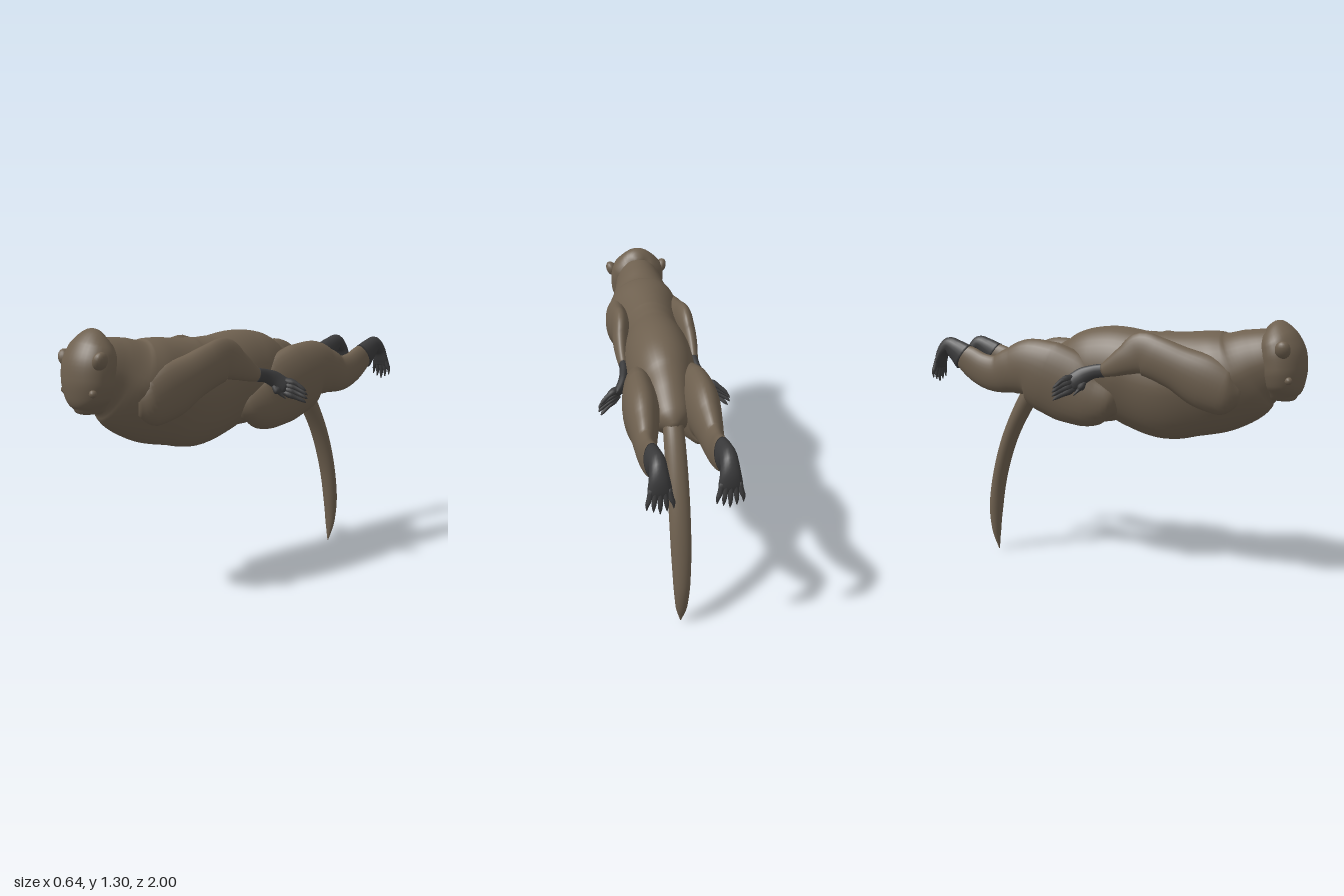
import * as THREE from 'three';

const fur = new THREE.MeshStandardMaterial({ color: 0x6e604f });
fur.name = 'brownFur';
const skin = new THREE.MeshStandardMaterial({ color: 0x3b3b3c });
skin.name = 'darkPaw';

// Smooth closed skin through oval sections [x, y, z, half width, half depth, taper of lower half]
function loft(sections, steps = 40, sides = 28) {
  const path = new THREE.CatmullRomCurve3(sections.map(s => new THREE.Vector3(s[0], s[1], s[2])));
  const sizes = new THREE.CatmullRomCurve3(sections.map(s => new THREE.Vector3(s[3], s[4], s[5] || 0)));
  const pos = [], idx = [];
  for (let i = 0; i <= steps; i++) {
    const k = i / steps;
    const c = path.getPoint(k), t = path.getTangent(k), r = sizes.getPoint(k);
    const u = new THREE.Vector3(1, 0, 0).addScaledVector(t, -t.x).normalize();
    const v = new THREE.Vector3().crossVectors(u, t);
    for (let j = 0; j < sides; j++) {
      const a = j / sides * Math.PI * 2;
      const low = Math.max(0, -Math.sin(a));
      const w = Math.cos(a) * Math.max(r.x, 0.001) * (1 - r.z * low);
      const p = c.clone().addScaledVector(u, w).addScaledVector(v, Math.sin(a) * Math.max(r.y, 0.001));
      pos.push(p.x, p.y, p.z);
      if (i < steps) {
        const n = (j + 1) % sides, A = i * sides + j, B = i * sides + n;
        idx.push(A, A + sides, B, B, A + sides, B + sides);
      }
    }
  }
  // End caps
  [0, steps].forEach(i => {
    const c = path.getPoint(i / steps), m = pos.length / 3;
    pos.push(c.x, c.y, c.z);
    for (let j = 0; j < sides; j++) {
      const A = i * sides + j, B = i * sides + (j + 1) % sides;
      if (i === 0) idx.push(m, A, B); else idx.push(m, B, A);
    }
  });
  const g = new THREE.BufferGeometry();
  g.setAttribute('position', new THREE.Float32BufferAttribute(pos, 3));
  g.setIndex(idx);
  g.computeVertexNormals();
  return g;
}

// Section across z given its top and bottom heights
const slice = (x, z, top, bottom, w, taper) => [x, (top + bottom) / 2, z, w, (top - bottom) / 2, taper];
// Section across y given its front and back depths
const level = (y, front, back, w) => [0, y, (front + back) / 2, w, (front - back) / 2];

export function createModel() {
  const model = new THREE.Group();
  model.name = 'animal';
  const add = (name, geometry, material, parent = model) => {
    const mesh = new THREE.Mesh(geometry, material);
    mesh.name = name;
    parent.add(mesh);
    return mesh;
  };

  // Long torso with a keeled chest and belly
  add('body', loft([
    slice(0, 0.9, 1.2, 1.02, 0.06, 0),
    slice(0, 0.86, 1.265, 0.97, 0.115, 0.1),
    slice(0, 0.77, 1.277, 0.9, 0.14, 0.2),
    slice(0, 0.68, 1.27, 0.815, 0.18, 0.3),
    slice(0, 0.58, 1.262, 0.765, 0.195, 0.35),
    slice(0, 0.44, 1.252, 0.735, 0.18, 0.3),
    slice(0, 0.3, 1.25, 0.713, 0.172, 0.2),
    slice(0, 0.16, 1.26, 0.755, 0.165, 0.15),
    slice(0, 0.04, 1.275, 0.81, 0.17, 0.1),
    slice(0, -0.08, 1.267, 0.81, 0.165, 0.1),
    slice(0, -0.2, 1.225, 0.82, 0.14, 0.1),
    slice(0, -0.31, 1.17, 0.87, 0.11, 0),
    slice(0, -0.41, 1.1, 0.93, 0.08, 0),
    slice(0, -0.46, 1.03, 0.97, 0.02, 0),
  ], 70, 40), fur);

  // Head bent so the crown leads and the snout points down
  add('head', loft([
    level(1.276, 0.83, 0.79, 0.02),
    level(1.26, 0.9, 0.76, 0.08),
    level(1.21, 0.957, 0.76, 0.133),
    level(1.14, 0.993, 0.77, 0.148),
    level(1.07, 0.998, 0.78, 0.145),
    level(1.0, 0.985, 0.8, 0.122),
    level(0.96, 0.965, 0.82, 0.085),
    level(0.938, 0.95, 0.84, 0.06),
    level(0.93, 0.91, 0.88, 0.015),
  ], 36, 36), fur);

  // Hanging tail
  add('tail', loft([
    [0, 1.04, -0.38, 0.045, 0.05], [0, 0.93, -0.475, 0.05, 0.05],
    [0, 0.7, -0.61, 0.051, 0.042], [0, 0.48, -0.688, 0.049, 0.038],
    [0, 0.27, -0.727, 0.041, 0.038], [0, 0.12, -0.73, 0.028, 0.024],
    [0, 0.01, -0.715, 0.002, 0.002],
  ]), fur);

  for (const s of [1, -1]) {
    const side = s > 0 ? 'left' : 'right';
    const flip = list => list.map(([x, ...rest]) => [x * s, ...rest]);
    const part = (name, list, material, steps, sides) =>
      add(side + name, loft(flip(list), steps, sides), material);

    // Ear and closed eye
    const ear = add(side + 'Ear', new THREE.SphereGeometry(1, 16, 12), fur);
    ear.scale.set(0.028, 0.042, 0.036);
    ear.position.set(s * 0.142, 1.175, 0.915);
    ear.rotation.z = s * -0.4;
    const eye = add(side + 'Eye', new THREE.SphereGeometry(0.018, 12, 8), fur);
    eye.position.set(s * 0.117, 1.035, 0.94);

    // Arm folded back, elbow raised
    part('Arm', [
      slice(0.12, 0.72, 1.02, 0.92, 0.03),
      slice(0.135, 0.65, 1.1, 0.86, 0.065),
      slice(0.15, 0.55, 1.15, 0.89, 0.065),
      slice(0.158, 0.42, 1.19, 0.97, 0.061),
      slice(0.163, 0.31, 1.23, 1.02, 0.053),
      slice(0.165, 0.235, 1.25, 1.04, 0.045),
      slice(0.175, 0.16, 1.19, 1.04, 0.037),
      slice(0.178, 0.09, 1.135, 1.03, 0.029),
      slice(0.176, 0.03, 1.09, 1.025, 0.022),
    ], fur);

    // Hand turned outward, with four fingers and a thumb
    part('Hand', [
      [0.176, 1.06, 0.035, 0.022, 0.034], [0.18, 1.052, -0.02, 0.02, 0.034],
      [0.193, 1.03, -0.075, 0.022, 0.042], [0.222, 1.0, -0.115, 0.02, 0.042],
      [0.238, 0.988, -0.13, 0.006, 0.03],
    ], skin, 20, 16);
    for (let i = 0; i < 4; i++) {
      const f = i / 3;
      part('Finger' + (i + 1), [
        [0.215, 1.025 - f * 0.055, -0.115 + f * 0.012, 0.012, 0.012],
        [0.262, 1.012 - f * 0.066, -0.148 + f * 0.012, 0.012, 0.012],
        [0.3 + Math.sin(f * 3.14) * 0.012, 0.985 - f * 0.06, -0.168, 0.009, 0.009],
        [0.312 + Math.sin(f * 3.14) * 0.01, 0.975 - f * 0.06, -0.178, 0.002, 0.002],
      ], skin, 10, 8);
    }
    part('Thumb', [
      [0.195, 1.0, -0.06, 0.011, 0.011], [0.22, 0.965, -0.08, 0.011, 0.011],
      [0.245, 0.935, -0.1, 0.002, 0.002],
    ], skin, 8, 8);

    // Heavy thigh running into the stretched-back shin
    part('Leg', [
      slice(0.09, 0.08, 0.9, 0.83, 0.02),
      slice(0.1, 0.03, 0.99, 0.785, 0.07),
      slice(0.11, -0.08, 1.07, 0.757, 0.087),
      slice(0.123, -0.2, 1.16, 0.78, 0.085),
      slice(0.135, -0.31, 1.205, 0.83, 0.085),
      slice(0.14, -0.41, 1.21, 0.9, 0.08),
      slice(0.145, -0.51, 1.165, 0.92, 0.065),
      slice(0.15, -0.61, 1.12, 0.925, 0.048),
      slice(0.15, -0.7, 1.13, 0.955, 0.041),
      slice(0.147, -0.78, 1.165, 1.01, 0.039),
      slice(0.146, -0.84, 1.185, 1.065, 0.036),
    ], fur, 50);

    // Foot hooked downward, with spread toes
    part('Foot', [
      [0.147, 1.105, -0.815, 0.04, 0.076], [0.145, 1.14, -0.865, 0.038, 0.06],
      [0.143, 1.165, -0.915, 0.036, 0.045], [0.143, 1.13, -0.957, 0.042, 0.03],
      [0.143, 1.075, -0.974, 0.05, 0.018], [0.143, 1.045, -0.978, 0.042, 0.008],
    ], skin, 24, 20);
    for (let i = 0; i < 5; i++) {
      const d = (i - 2) / 2, drop = Math.abs(d) * 0.025;
      part('Toe' + (i + 1), [
        [0.143 + d * 0.036, 1.09, -0.974, 0.011, 0.012],
        [0.143 + d * 0.046, 1.04, -0.984, 0.011, 0.013],
        [0.143 + d * 0.052, 1.0 + drop, -0.987, 0.009, 0.01],
        [0.143 + d * 0.055, 0.968 + drop, -0.985, 0.002, 0.003],
      ], skin, 10, 8);
    }
  }
  return model;
}
